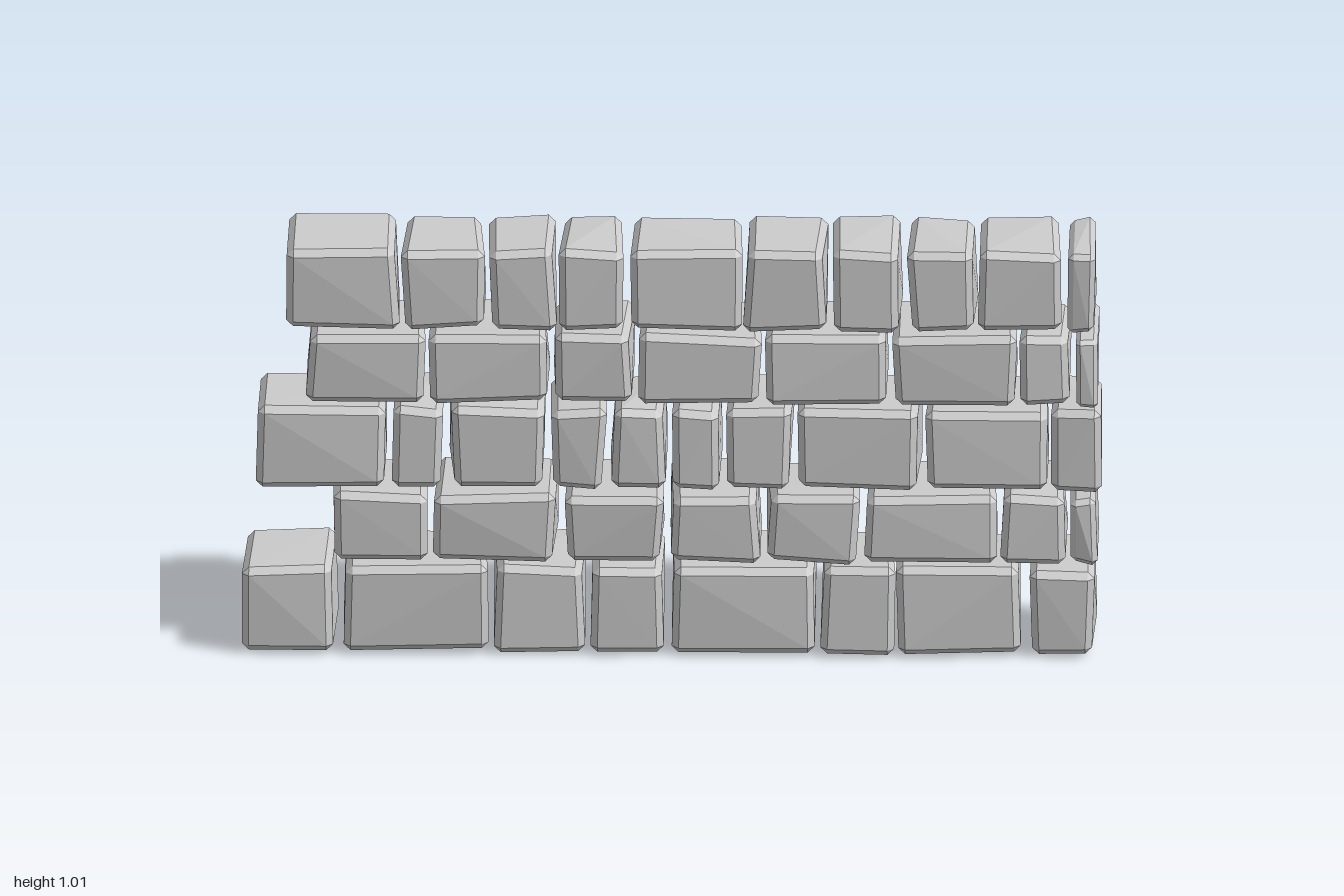
import * as THREE from 'three';
import { ConvexGeometry } from 'three/addons/geometries/ConvexGeometry.js';

// Each course: bottom, top, half depth, then [left, right] extents of its stones
const COURSES = [
  { y0: 0.0, y1: 0.225, d: 0.134, stones: [[-1, -0.775], [-0.77, -0.42], [-0.415, -0.2], [-0.19, -0.015], [-0.01, 0.34], [0.34, 0.52], [0.52, 0.82], [0.825, 0.985]] },
  { y0: 0.227, y1: 0.405, d: 0.13, stones: [[-0.79, -0.565], [-0.555, -0.265], [-0.255, -0.015], [-0.01, 0.21], [0.215, 0.44], [0.445, 0.76], [0.76, 0.92], [0.92, 0.99]] },
  { y0: 0.407, y1: 0.618, d: 0.126, stones: [[-0.97, -0.66], [-0.655, -0.525], [-0.52, -0.29], [-0.285, -0.15], [-0.145, -0.01], [0, 0.12], [0.125, 0.285], [0.285, 0.58], [0.585, 0.875], [0.88, 1]] },
  { y0: 0.622, y1: 0.803, d: 0.125, stones: [[-0.85, -0.57], [-0.565, -0.285], [-0.285, -0.085], [-0.085, 0.215], [0.215, 0.505], [0.51, 0.805], [0.805, 0.93], [0.935, 0.99]] },
  { y0: 0.805, y1: 1.015, d: 0.122, stones: [[-0.9, -0.63], [-0.63, -0.43], [-0.43, -0.265], [-0.265, -0.105], [-0.1, 0.165], [0.165, 0.365], [0.365, 0.535], [0.545, 0.71], [0.71, 0.91], [0.915, 0.985]] },
];

// Small repeatable generator for the uneven corners
function seeded(seed) {
  let s = seed;
  return () => (s = (s * 16807) % 2147483647) / 2147483647;
}

// Roughly cut block: every corner is pulled in a little, then its edges are chamfered
function stoneGeometry(w, h, d, rand) {
  const bevel = Math.min(0.016, w * 0.18);
  const wobble = Math.min(0.016, w * 0.1);
  const points = [];
  for (const sx of [-1, 1]) for (const sy of [-1, 1]) for (const sz of [-1, 1]) {
    const x = w / 2 - rand() * wobble;
    const y = h / 2 - rand() * 0.012;
    const z = d - rand() * 0.012;
    // one point on each of the three faces meeting here
    points.push(
      new THREE.Vector3(sx * x, sy * (y - bevel), sz * (z - bevel)),
      new THREE.Vector3(sx * (x - bevel), sy * y, sz * (z - bevel)),
      new THREE.Vector3(sx * (x - bevel), sy * (y - bevel), sz * z),
    );
  }
  return new ConvexGeometry(points);
}

export function createModel() {
  const wall = new THREE.Group();
  wall.name = 'stoneWall';
  const material = new THREE.MeshStandardMaterial({ color: 0xcccccc, flatShading: true });
  const rand = seeded(4821);

  COURSES.forEach(({ y0, y1, d, stones }, row) => {
    const course = new THREE.Group();
    course.name = `course${row + 1}`;
    stones.forEach(([x0, x1], i) => {
      const stone = new THREE.Mesh(stoneGeometry(x1 - x0, y1 - y0, d, rand), material);
      stone.name = `stone${i + 1}`;
      stone.position.set((x0 + x1) / 2, (y0 + y1) / 2, 0);
      course.add(stone);
    });
    wall.add(course);
  });
  return wall;
}
